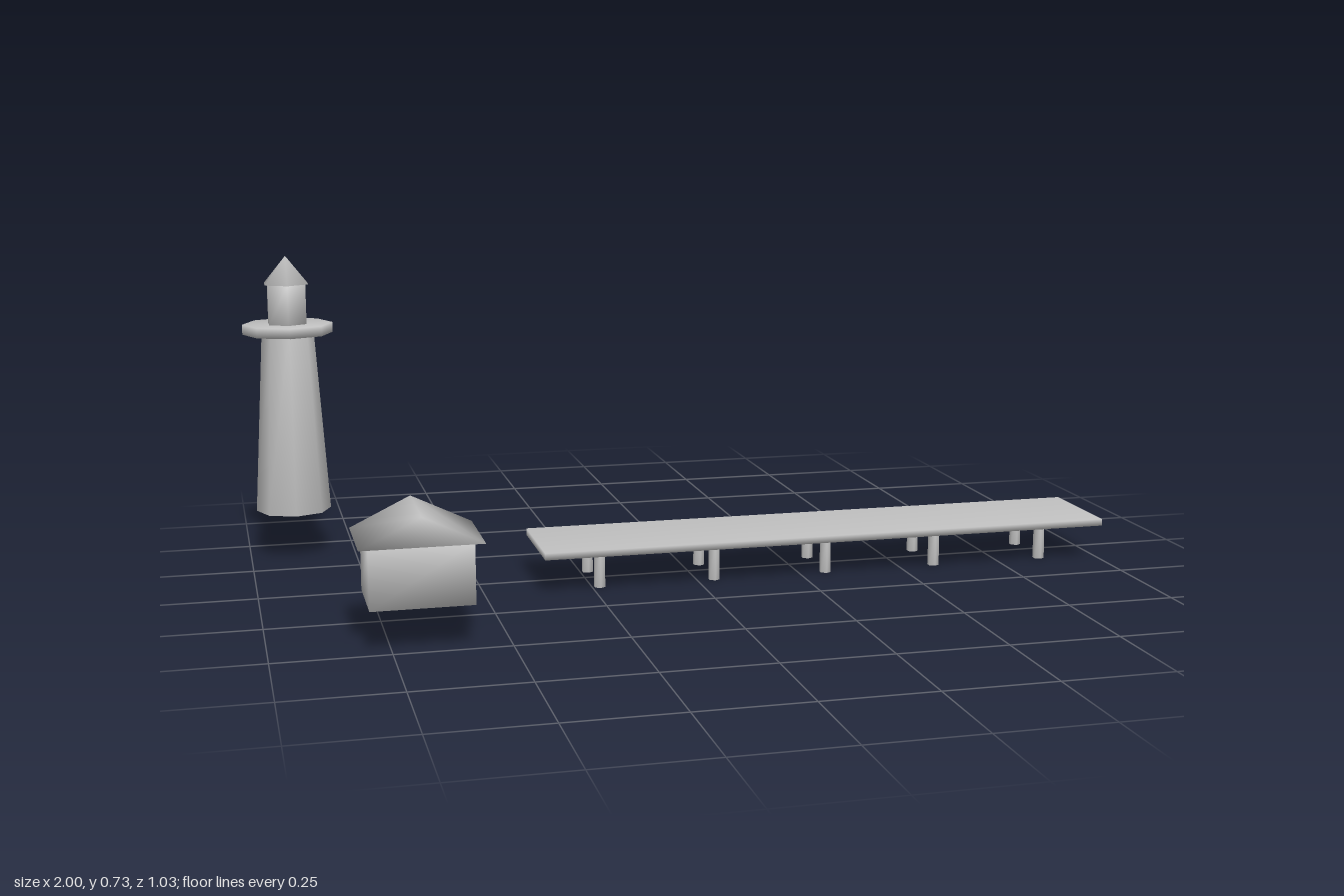
import * as THREE from 'three';
import { mergeVertices } from 'three/addons/utils/BufferGeometryUtils.js';

const stone = new THREE.MeshStandardMaterial({ color: 0xc0c0c0 });
stone.name = 'pale grey';

// Weld shared corners so shading runs smoothly around the low-poly edges
function weld(geometry) {
  geometry.deleteAttribute('normal');
  geometry.deleteAttribute('uv');
  const welded = mergeVertices(geometry, 1e-5);
  welded.computeVertexNormals();
  return welded;
}

function addPart(parent, name, geometry, x, y, z) {
  const mesh = new THREE.Mesh(weld(geometry), stone);
  mesh.name = name;
  mesh.position.set(x, y, z);
  parent.add(mesh);
  return mesh;
}

// Upright round part standing on height y0
function addDrum(parent, name, rTop, rBottom, y0, y1, sides, x = 0, z = 0) {
  const geometry = new THREE.CylinderGeometry(rTop, rBottom, y1 - y0, sides);
  return addPart(parent, name, geometry, x, (y0 + y1) / 2, z);
}

function group(parent, name, x, z) {
  const g = new THREE.Group();
  g.name = name;
  g.position.set(x, 0, z);
  parent.add(g);
  return g;
}

export function createModel() {
  const model = new THREE.Group();
  model.name = 'harbour';

  // Lighthouse: tapered tower, gallery, six-sided lantern and cap
  const lighthouse = group(model, 'lighthouse', -0.893, -0.405);
  addDrum(lighthouse, 'tower', 0.062, 0.0895, 0.112, 0.546, 8);
  addDrum(lighthouse, 'gallery', 0.107, 0.107, 0.546, 0.57, 8);
  addDrum(lighthouse, 'lantern', 0.051, 0.051, 0.57, 0.666, 6);
  addDrum(lighthouse, 'lanternRoof', 0, 0.059, 0.666, 0.733, 6);

  // Hut: box walls under an overhanging gable, ridge along z
  const hut = group(model, 'hut', -0.686, 0.41);
  addPart(hut, 'walls', new THREE.BoxGeometry(0.219, 0.132, 0.179), 0, 0.159, 0);
  const gable = new THREE.Shape([
    new THREE.Vector2(-0.13, 0),
    new THREE.Vector2(0.13, 0),
    new THREE.Vector2(0, 0.063),
  ]);
  const roof = new THREE.ExtrudeGeometry(gable, { depth: 0.209, bevelEnabled: false });
  addPart(hut, 'gableRoof', roof, 0, 0.225, -0.1045);

  // Pier: long deck on two rows of posts
  const pier = group(model, 'pier', 0.316, 0.016);
  addPart(pier, 'deck', new THREE.BoxGeometry(1.368, 0.016, 0.251), 0, 0.092, 0);
  for (let i = -2; i <= 2; i++) {
    for (const side of [-1, 1]) {
      addDrum(pier, 'post', 0.0128, 0.0138, 0, 0.085, 6, i * 0.273 - 0.002, side * 0.071);
    }
  }

  return model;
}
